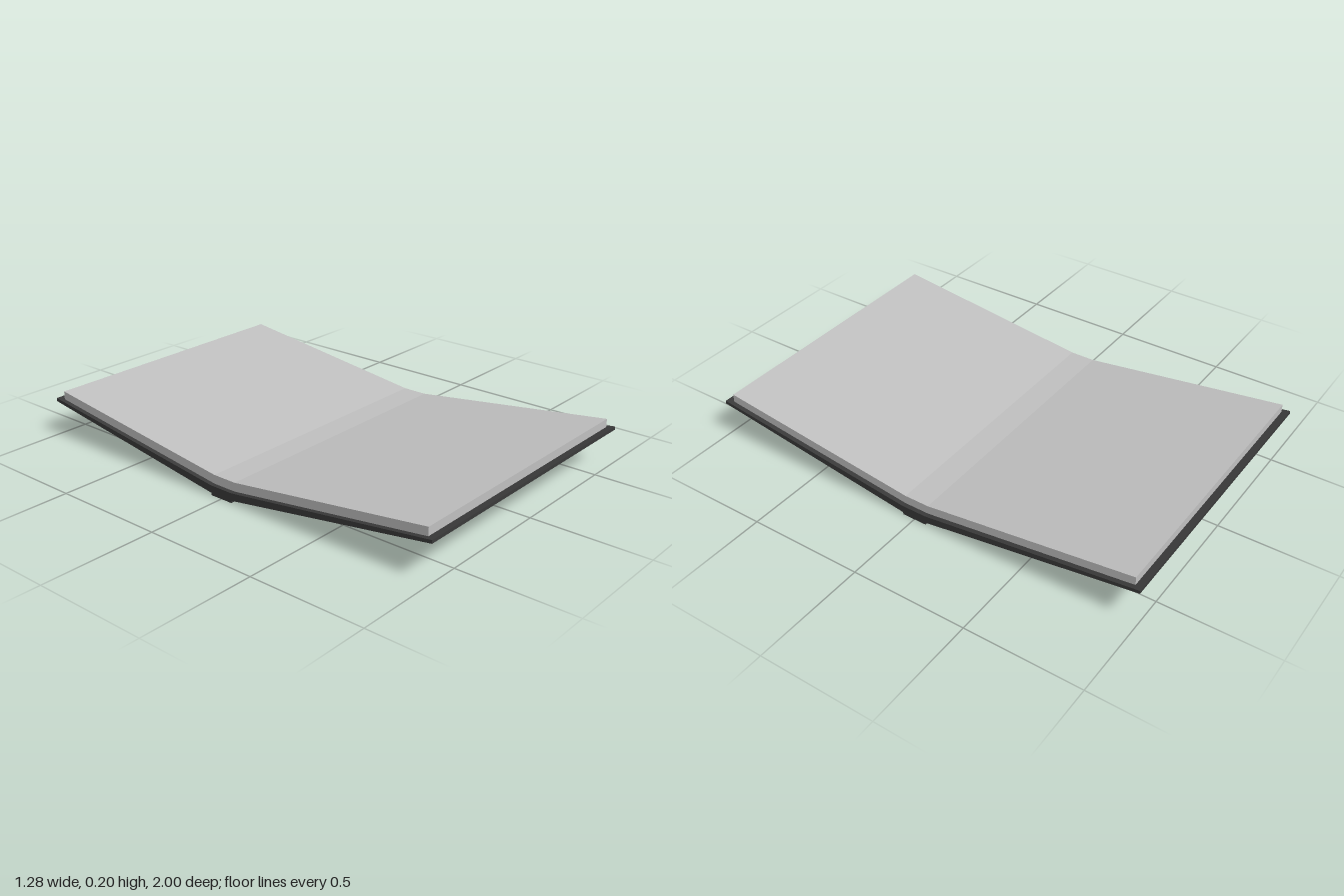
import * as THREE from 'three';

const coverMat = new THREE.MeshStandardMaterial({ name: 'charcoal cover', color: 0x3a3a3a });
const pageMat = new THREE.MeshStandardMaterial({ name: 'pale grey paper', color: 0xc0c0c0 });
const labelMat = new THREE.MeshStandardMaterial({ name: 'grey label', color: 0xa0a0a0 });

// Extrudes a side profile across x. Each half-profile holds [z, y] points, mirrored front to back.
function foldedSlab(name, top, bottom, width, material) {
  const mirror = (pts) => pts.map(([z, y]) => [-z, y]);
  const outline = [
    ...mirror(bottom).reverse(), ...bottom,
    ...[...top].reverse(), ...mirror(top),
  ];
  const shape = new THREE.Shape(outline.map(([z, y]) => new THREE.Vector2(z, y)));
  const geo = new THREE.ExtrudeGeometry(shape, { depth: width, bevelEnabled: false });
  geo.translate(0, 0, -width / 2).rotateY(Math.PI / 2);
  const mesh = new THREE.Mesh(geo, material);
  mesh.name = name;
  return mesh;
}

export function createModel() {
  const group = new THREE.Group();
  group.name = 'openBook';

  // Boards taper from the spine to the outer edges
  group.add(foldedSlab('cover',
    [[0.055, 0.042], [1, 0.168]],
    [[0.055, 0.01], [1, 0.154]], 1.28, coverMat));

  // Page block resting on the boards
  group.add(foldedSlab('pages',
    [[0.055, 0.08], [0.97, 0.2]],
    [[0.055, 0.041], [0.97, 0.163]], 1.24, pageMat));

  // Raised spine strip underneath
  const spine = new THREE.Mesh(new THREE.BoxGeometry(1.28, 0.012, 0.11), coverMat);
  spine.name = 'spine';
  spine.position.y = 0.006;
  group.add(spine);

  // Label plate on the outside of the front board
  const slope = 0.144 / 0.945;
  const z = 0.575;
  const label = new THREE.Mesh(new THREE.BoxGeometry(0.16, 0.006, 0.54), labelMat);
  label.name = 'coverLabel';
  label.position.set(-0.283, 0.01 + (z - 0.055) * slope - 0.001, z);
  label.rotation.x = -Math.atan(slope);
  group.add(label);

  return group;
}
